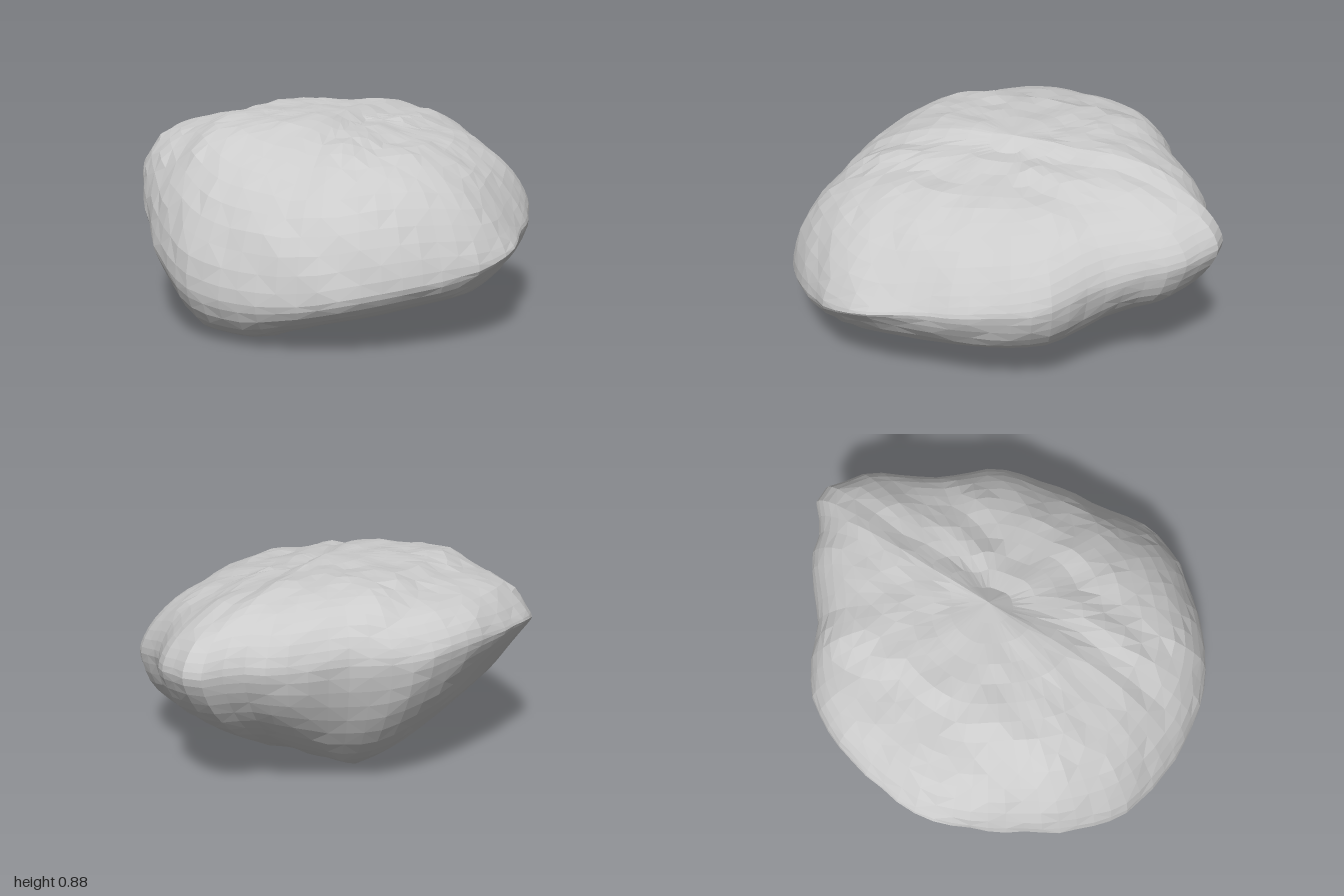
import * as THREE from 'three';

const SEGMENTS = 68, RINGS = 30;

// widest contour of the boulder, seen from above: x, height of the rim, z
const RIM = [
  [.89, .37, .3], [.83, .32, .54], [.6, .28, .8], [.42, .25, .93], [.2, .21, .99],
  [-.1, .2, .99], [-.32, .23, .94], [-.46, .28, .85], [-.6, .36, .72], [-.8, .52, .45],
  [-.88, .61, .3], [-.9, .64, .15], [-.88, .65, -.08], [-.82, .65, -.28], [-.73, .63, -.43],
  [-.62, .61, -.54], [-.4, .6, -.65], [-.18, .59, -.84], [-.02, .59, -.9], [.06, .58, -.98],
  [.13, .58, -1], [.22, .57, -.96], [.34, .55, -.88], [.44, .52, -.72], [.54, .48, -.58],
  [.7, .44, -.46], [.78, .42, -.3], [.84, .4, -.05], [.86, .39, .1],
].map(p => new THREE.Vector3(...p));

// height of the crown and of the underside across the width: x, y
const CROWN = [[-.9, .7], [-.85, .78], [-.8, .82], [-.55, .825], [-.45, .87], [0, .87], [.09, .825],
  [.2, .82], [.3, .78], [.46, .76], [.6, .7], [.7, .65], [.8, .56], [.9, .42]];
const BASE = [[-.9, .58], [-.87, .52], [-.8, .44], [-.7, .32], [-.6, .23], [-.5, .14], [-.4, .07],
  [-.28, .005], [-.02, .005], [.1, .05], [.3, .1], [.6, .15], [.75, .17], [.82, .22], [.9, .33]];

function sample(table, x) {
  if (x <= table[0][0]) return table[0][1];
  for (let i = 1; i < table.length; i++) {
    const [x0, y0] = table[i - 1], [x1, y1] = table[i];
    if (x <= x1) return y0 + (y1 - y0) * (x - x0) / (x1 - x0);
  }
  return table[table.length - 1][1];
}

// sharpness of the shoulder, blended between the front, back and side directions
function sharpness(rim, front, back, side) {
  const s = rim.z * rim.z / (rim.x * rim.x + rim.z * rim.z);
  return side + ((rim.z > 0 ? front : back) - side) * s;
}

// small chipped unevenness
const chips = (x, y, z) =>
  .5 * Math.sin(13 * x + 5 * z + 4 * y) * Math.sin(11 * z - 6 * y) +
  .5 * Math.sin(27 * x - 9 * z + 17 * y) * Math.cos(19 * z + 14 * x);

function surfacePoint(rim, phi) {
  const t = Math.abs(Math.cos(phi)), x = rim.x * t, z = rim.z * t;
  let y;
  if (phi >= 0) {
    const f = Math.pow(1 - Math.pow(t, sharpness(rim, 3, 4.5, 8)), .6);
    y = rim.y + (Math.max(sample(CROWN, x), rim.y + .02) - rim.y) * f;
  } else {
    const f = Math.pow(1 - Math.pow(t, sharpness(rim, 12, 1.8, 9)), .6);
    y = rim.y - (rim.y - Math.min(sample(BASE, x), rim.y - .02)) * f;
    // hollow under the back point and a shallow dip in the foot
    y += .05 * Math.exp(-((x - .3) ** 2 + (z + .62) ** 2) / .02);
    y += .04 * Math.exp(-((z - .2) ** 2) / .006 - ((x + .15) ** 2) / .08);
  }
  const n = chips(x, y, z);
  return [x * (1 + .012 * n), Math.max(0, y + .012 * n * Math.abs(Math.sin(phi))), z * (1 + .01 * n)];
}

function boulderGeometry() {
  const rim = new THREE.CatmullRomCurve3(RIM, true).getSpacedPoints(SEGMENTS).slice(0, SEGMENTS);
  const positions = [], index = [];
  // rings from the underside up to the crown
  for (let r = 1; r < RINGS; r++) {
    const phi = Math.PI * (r / RINGS - .5);
    for (const p of rim) positions.push(...surfacePoint(p, phi));
  }
  const bottom = positions.length / 3, top = bottom + 1;
  positions.push(0, .005, 0, 0, .87, 0);
  const last = (RINGS - 2) * SEGMENTS;
  for (let i = 0; i < SEGMENTS; i++) {
    const j = (i + 1) % SEGMENTS;
    for (let r = 0; r < RINGS - 2; r++) {
      const a = r * SEGMENTS + i, b = r * SEGMENTS + j, c = a + SEGMENTS, d = b + SEGMENTS;
      // alternate the diagonals so the facets look broken
      if ((i + r) % 2) index.push(a, c, b, b, c, d);
      else index.push(a, c, d, a, d, b);
    }
    index.push(bottom, i, j, top, last + j, last + i);
  }
  const geometry = new THREE.BufferGeometry();
  geometry.setAttribute('position', new THREE.Float32BufferAttribute(positions, 3));
  geometry.setIndex(index);
  geometry.computeVertexNormals();
  return geometry;
}

export function createModel() {
  const group = new THREE.Group();
  group.name = 'rock';
  const boulder = new THREE.Mesh(
    boulderGeometry(),
    new THREE.MeshStandardMaterial({ color: 0xcccccc, flatShading: true }),
  );
  boulder.name = 'boulder';
  group.add(boulder);
  return group;
}
